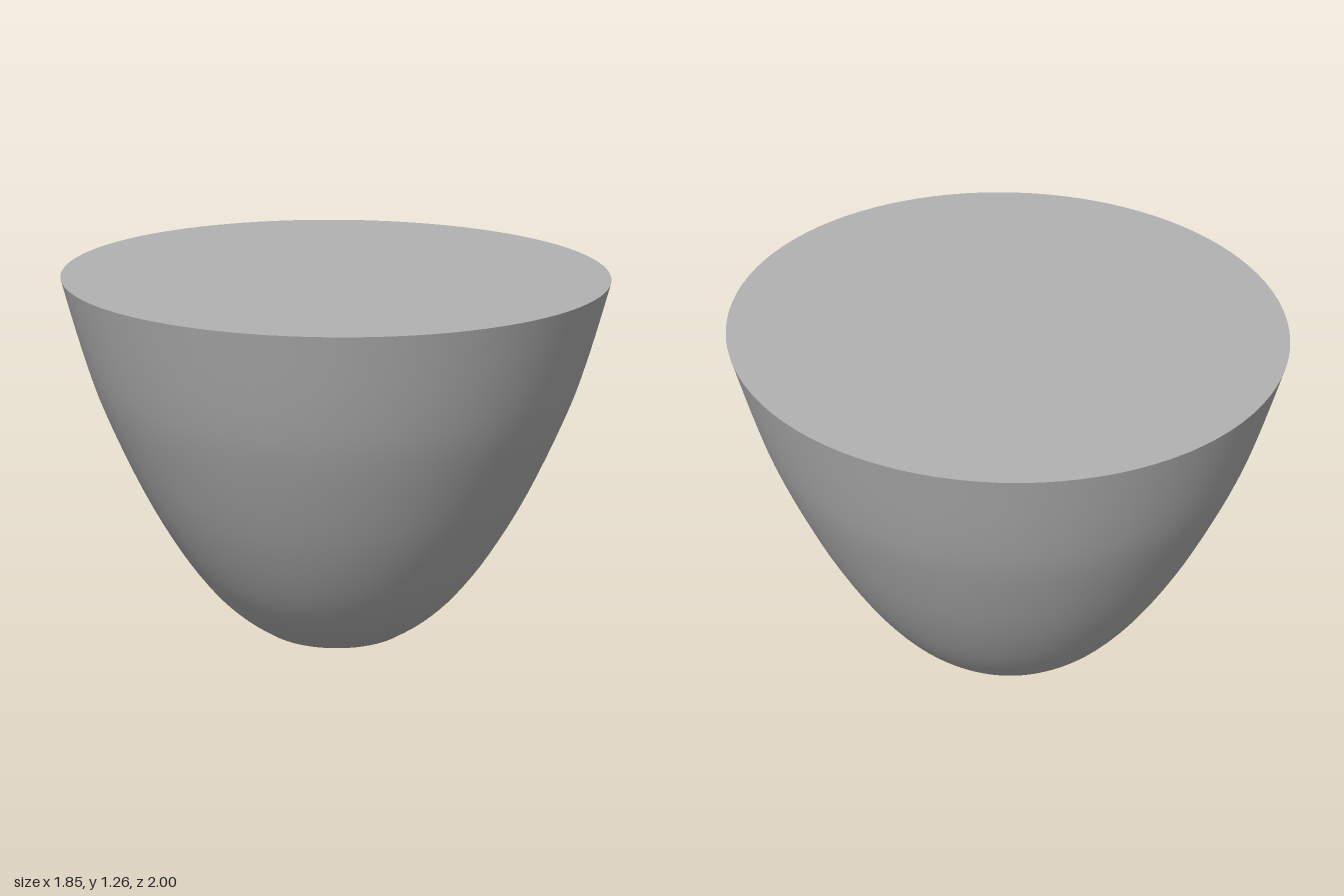
import * as THREE from 'three';

const HEIGHT = 1.26, X_SCALE = 0.925, SEGMENTS = 96;

export function createModel() {
  const group = new THREE.Group();
  group.name = 'ovalBowl';
  const grey = new THREE.MeshStandardMaterial({ color: 0xb2b2b2 });
  grey.name = 'grey';

  // Curved wall: a smooth profile turned about y, narrowed in x to an oval
  const profile = new THREE.SplineCurve([
    [0.29, 0], [0.385, 0.065], [0.485, 0.16], [0.6, 0.31],
    [0.73, 0.53], [0.86, 0.81], [0.93, 1.01], [1, HEIGHT],
  ].map(([r, y]) => new THREE.Vector2(r, y)));
  const wallGeometry = new THREE.LatheGeometry(profile.getPoints(28), SEGMENTS);
  wallGeometry.scale(X_SCALE, 1, 1);
  const wall = new THREE.Mesh(wallGeometry, grey);
  wall.name = 'curvedWall';
  group.add(wall);

  // Flat oval faces closing the top and the foot
  const addCap = (name, radius, y, turn) => {
    const geometry = new THREE.CircleGeometry(radius, SEGMENTS);
    geometry.rotateX(turn).scale(X_SCALE, 1, 1).translate(0, y, 0);
    const cap = new THREE.Mesh(geometry, grey);
    cap.name = name;
    group.add(cap);
  };
  addCap('topFace', 1, HEIGHT, -Math.PI / 2);
  addCap('baseFace', 0.29, 0, Math.PI / 2);

  return group;
}
